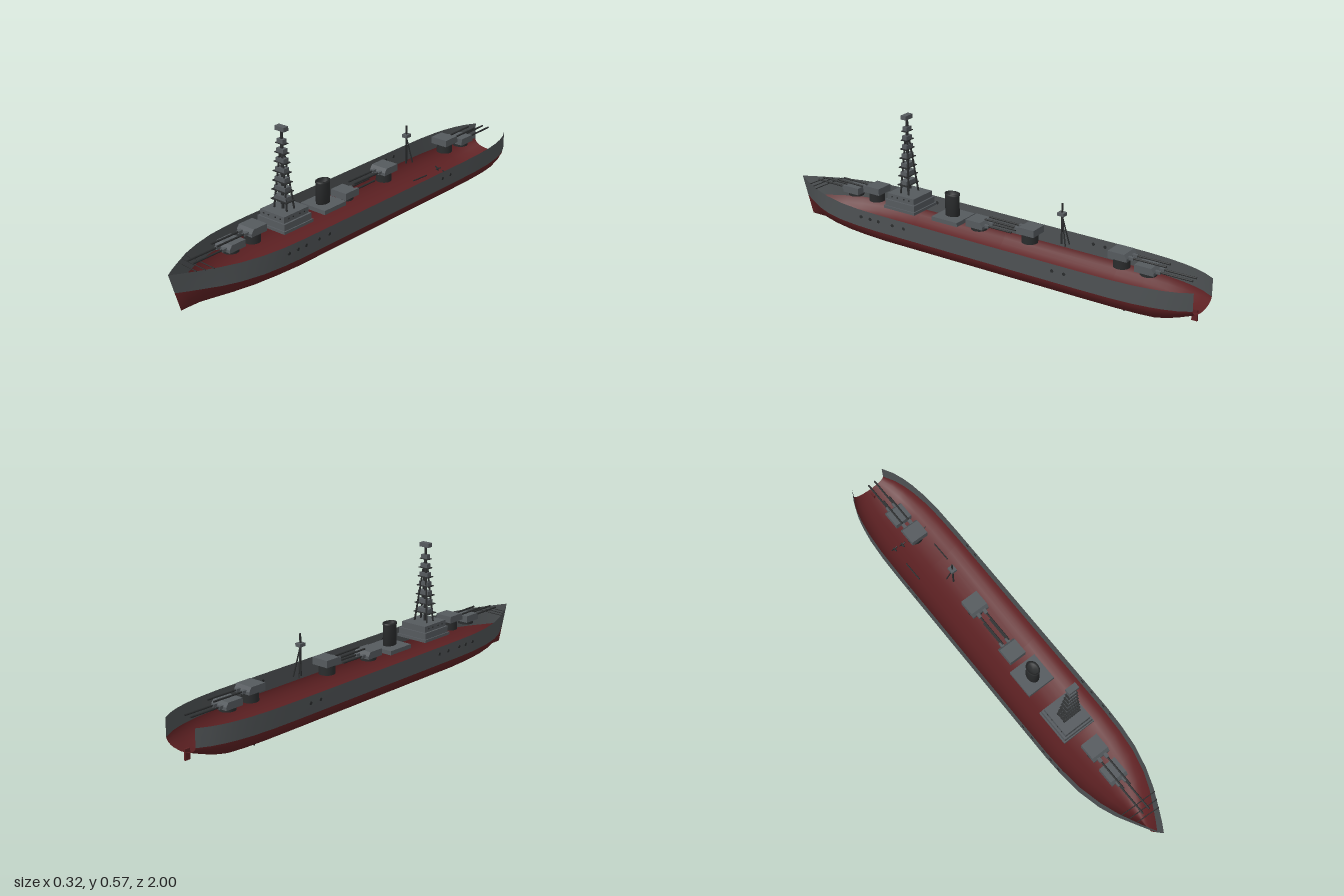
import * as THREE from 'three';

const mat = (name, color, side = THREE.FrontSide) => {
  const m = new THREE.MeshStandardMaterial({ color, side });
  m.name = name;
  return m;
};

export function createModel() {
  const ship = new THREE.Group();
  ship.name = 'warship';
  const red = mat('hull red', 0x5e2123, THREE.DoubleSide);
  const hullGrey = mat('hull grey', 0x4d5153, THREE.DoubleSide);
  const grey = mat('structure grey', 0x555a5e);
  const dark = mat('dark steel', 0x2a2c2d);

  const add = (parent, name, geo, material, x = 0, y = 0, z = 0) => {
    const m = new THREE.Mesh(geo, material);
    m.name = name;
    m.position.set(x, y, z);
    parent.add(m);
    return m;
  };
  const box = (parent, name, material, w, h, d, x, y, z) =>
    add(parent, name, new THREE.BoxGeometry(w, h, d), material, x, y, z);
  // Round bar between two points
  const bar = (parent, name, material, r, a, b) => {
    const p = new THREE.Vector3(...a), q = new THREE.Vector3(...b);
    const m = add(parent, name, new THREE.CylinderGeometry(r, r, p.distanceTo(q), 8), material);
    m.position.copy(p).add(q).multiplyScalar(0.5);
    m.quaternion.setFromUnitVectors(new THREE.Vector3(0, 1, 0), q.sub(p).normalize());
    return m;
  };

  // Open hull shell: [z, half width, keel height, top height, sharpness]
  const stations = [
    [-1, 0.08, 0.053, 0.163, 0], [-0.95, 0.108, 0.034, 0.163, 0], [-0.9, 0.126, 0.016, 0.163, 0],
    [-0.85, 0.138, 0.005, 0.163, 0], [-0.78, 0.149, 0.004, 0.163, 0], [-0.68, 0.156, 0.004, 0.163, 0],
    [-0.55, 0.158, 0.004, 0.163, 0], [0, 0.158, 0.004, 0.163, 0], [0.45, 0.158, 0.004, 0.164, 0],
    [0.55, 0.154, 0.004, 0.164, 0.1], [0.65, 0.143, 0.004, 0.165, 0.25], [0.75, 0.119, 0.004, 0.166, 0.45],
    [0.83, 0.09, 0.004, 0.168, 0.65], [0.9, 0.056, 0.004, 0.169, 0.85], [0.96, 0.025, 0.004, 0.17, 1],
    [1, 0.0005, 0.004, 0.171, 1],
  ];
  const WATER = 0.087;
  const bilge = [[0, 0], [0.25, 0.06], [0.49, 0.14], [0.68, 0.27], [0.83, 0.46], [0.93, 0.67], [0.985, 0.87], [1, 1]];
  const rake = (z, y) => z - 0.055 * (1 - y / 0.171) * THREE.MathUtils.smoothstep(z, 0.7, 1);
  const loft = (rows) => {
    const n = rows[0].length, pos = [], idx = [];
    rows.flat().forEach((p) => pos.push(...p));
    for (let i = 0; i < rows.length - 1; i++)
      for (let j = 0; j < n - 1; j++) {
        const a = i * n + j, b = a + n;
        idx.push(a, a + 1, b, a + 1, b + 1, b);
      }
    const g = new THREE.BufferGeometry();
    g.setAttribute('position', new THREE.Float32BufferAttribute(pos, 3));
    g.setIndex(idx);
    g.computeVertexNormals();
    return g;
  };
  const lowerRow = ([z, w, k, , s]) => {
    const half = bilge.map(([u, v]) => {
      const y = k + (WATER - k) * v;
      return [w * THREE.MathUtils.lerp(u, v * 0.5 + u * 0.5, s), y, rake(z, y)];
    });
    return [...half.slice(1).reverse().map(([x, y, zz]) => [-x, y, zz]), ...half];
  };
  add(ship, 'lowerHull', loft(stations.map(lowerRow)), red);
  for (const side of [-1, 1]) {
    const rows = stations.map(([z, w, , t]) => [0, 0.5, 1].map((f) => {
      const y = WATER + (t - WATER) * f;
      return [side * w, y, rake(z, y)];
    }));
    if (side < 0) rows.forEach((r) => r.reverse());
    add(ship, side > 0 ? 'leftHullSide' : 'rightHullSide', loft(rows), hullGrey);
    // Portholes
    for (const z of [0.53, 0.48, 0.435, 0.36, 0.3, -0.43, -0.485]) {
      const p = add(ship, 'hullPorthole', new THREE.CylinderGeometry(0.007, 0.007, 0.004, 12), dark,
        side * 0.158, 0.134, z);
      p.rotation.z = Math.PI / 2;
    }
  }
  // Beams across the bow
  for (const [z, w] of [[0.84, 0.084], [0.87, 0.068], [0.9, 0.053]])
    bar(ship, 'bowBeam', dark, 0.002, [-w, 0.168, z], [w, 0.168, z + 0.008]);

  // Twin-gun turrets: centre z, base height, direction, gun length, barbette
  const profile = new THREE.Shape();
  [[-0.042, 0], [0.042, 0], [0.042, 0.013], [0.03, 0.03], [-0.042, 0.03]]
    .forEach(([a, b], i) => (i ? profile.lineTo(a, b) : profile.moveTo(a, b)));
  const turretGeo = new THREE.ExtrudeGeometry(profile, { depth: 0.08, bevelEnabled: false });
  turretGeo.translate(0, 0, -0.04);
  turretGeo.rotateY(-Math.PI / 2);
  const turret = (z, y, dir, reach, raised) => {
    const g = new THREE.Group();
    g.name = 'gunTurret';
    g.position.set(0, y, z);
    if (dir < 0) g.rotation.y = Math.PI;
    add(g, 'turretHouse', turretGeo, grey);
    for (const x of [-0.016, 0.016]) {
      box(g, 'gunMantlet', grey, 0.014, 0.012, 0.03, x, 0.012, 0.045);
      bar(g, 'gunBarrel', dark, 0.004, [x, 0.013, 0.03], [x, 0.014, reach]);
    }
    const h = raised ? 0.04 : 0.015;
    add(g, 'barbette', new THREE.CylinderGeometry(0.034, 0.034, h, 24), dark, 0, -h / 2, 0);
    ship.add(g);
  };
  turret(0.685, 0.168, 1, 0.205, false);
  turret(0.568, 0.192, 1, 0.2, true);
  turret(0.025, 0.162, -1, 0.17, false);
  turret(-0.225, 0.19, 1, 0.21, true);
  turret(-0.65, 0.192, -1, 0.2, true);
  turret(-0.768, 0.164, -1, 0.195, false);

  // Bridge tiers with portholes
  const MZ = 0.387;
  box(ship, 'bridgeBase', grey, 0.155, 0.012, 0.164, 0, 0.17, MZ);
  box(ship, 'bridgeLowerTier', grey, 0.145, 0.028, 0.154, 0, 0.189, MZ);
  box(ship, 'bridgeUpperTier', grey, 0.128, 0.027, 0.14, 0, 0.2165, MZ);
  for (const x of [-0.045, -0.018, 0.018, 0.045]) {
    const p = add(ship, 'bridgePorthole', new THREE.CylinderGeometry(0.0035, 0.0035, 0.004, 10), dark,
      x, 0.218, MZ + 0.07);
    p.rotation.x = Math.PI / 2;
    for (const s of [-1, 1]) {
      const q = add(ship, 'bridgePorthole', p.geometry, dark, s * 0.064, 0.218, MZ + x);
      q.rotation.z = Math.PI / 2;
    }
  }

  // Tower mast: pole, splayed legs and stacked platforms
  const TZ = 0.395;
  bar(ship, 'mastPole', dark, 0.006, [0, 0.228, TZ], [0, 0.56, TZ]);
  for (const s of [-1, 1])
    for (const f of [-1, 1])
      bar(ship, 'mastLeg', dark, 0.004, [s * 0.034, 0.228, TZ + (f < 0 ? -0.028 : 0.014)],
        [s * 0.006, 0.47, TZ + f * 0.005]);
  [0.268, 0.308, 0.346, 0.386, 0.426, 0.465, 0.504].forEach((y, i) => {
    const w = 0.043 - i * 0.0033;
    box(ship, 'mastPlatform', dark, w * 2, 0.003, 0.05 - i * 0.004, 0, y, TZ);
    box(ship, 'mastCabin', grey, (w - 0.011) * 2 + i * 0.0012, 0.017, 0.034 - i * 0.002, 0, y + 0.01, TZ);
  });
  box(ship, 'mastTopHouse', grey, 0.048, 0.018, 0.026, 0, 0.565, TZ);

  // Funnel on its platform
  box(ship, 'funnelPlatform', grey, 0.13, 0.018, 0.13, 0, 0.168, 0.158);
  const funnelShape = [[0, 0.172], [0.033, 0.172], [0.033, 0.265], [0.0345, 0.266], [0.0345, 0.274],
    [0.028, 0.274], [0.028, 0.255], [0, 0.255]].map(([r, y]) => new THREE.Vector2(r, y));
  const funnel = add(ship, 'funnel', new THREE.LatheGeometry(funnelShape, 28), dark, 0, 0, 0.162);
  funnel.scale.x = 0.75;

  // Aft tripod mast
  const AZ = -0.375;
  bar(ship, 'aftMastPole', dark, 0.004, [0, 0.178, AZ], [0, 0.352, AZ]);
  for (const s of [-1, 1])
    bar(ship, 'aftMastLeg', dark, 0.003, [s * 0.015, 0.178, AZ - 0.027], [0, 0.3, AZ]);
  box(ship, 'aftMastLookout', grey, 0.026, 0.014, 0.03, 0, 0.307, AZ);

  // Shafts, propellers and rudder
  for (const s of [-1, 1]) {
    bar(ship, 'propellerShaft', dark, 0.003, [s * 0.077, 0.024, -0.53], [s * 0.077, 0.02, -0.625]);
    for (const [x, y] of [[0.077, 0.026], [0.035, 0.017]]) {
      const prop = new THREE.Group();
      prop.name = 'propeller';
      prop.position.set(s * x, y, -0.71);
      for (let k = 0; k < 3; k++) {
        const blade = box(prop, 'propellerBlade', dark, 0.006, 0.018, 0.003, 0, 0, 0);
        blade.geometry.translate(0, -0.008, 0);
        blade.rotation.z = (k * 2 * Math.PI) / 3;
      }
      bar(prop, 'propellerHub', dark, 0.004, [0, 0, -0.008], [0, 0, 0.012]);
      ship.add(prop);
    }
  }
  box(ship, 'rudder', red, 0.008, 0.045, 0.024, 0, 0.034, -0.972);
  return ship;
}
